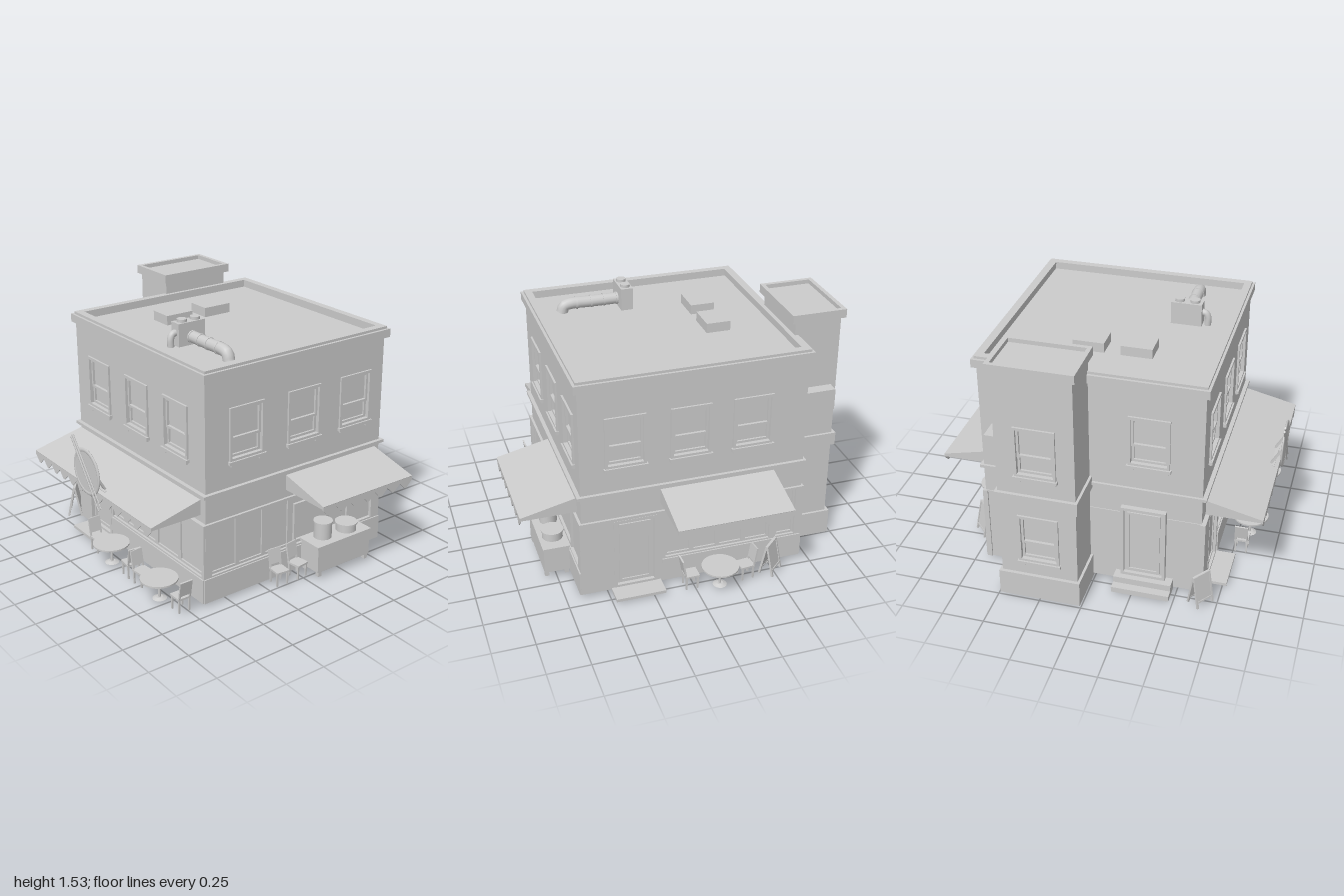
import * as THREE from 'three';

const mat = new THREE.MeshStandardMaterial({ color: 0xcccccc, side: THREE.DoubleSide });

function add(parent, name, geo, x = 0, y = 0, z = 0) {
  const m = new THREE.Mesh(geo, mat);
  m.name = name;
  m.position.set(x, y, z);
  parent.add(m);
  return m;
}
// Box given by its limits on each axis
function box(parent, name, x0, x1, y0, y1, z0, z1) {
  return add(parent, name, new THREE.BoxGeometry(x1 - x0, y1 - y0, z1 - z0),
    (x0 + x1) / 2, (y0 + y1) / 2, (z0 + z1) / 2);
}
const cyl = (parent, name, r0, r1, h, x, y, z, n = 20) =>
  add(parent, name, new THREE.CylinderGeometry(r0, r1, h, n), x, y, z);
function group(parent, name, x = 0, y = 0, z = 0, ry = 0) {
  const g = new THREE.Group();
  g.name = name;
  g.position.set(x, y, z);
  g.rotation.y = ry;
  parent.add(g);
  return g;
}
function rect(S, x0, x1, y0, y1) {
  const s = new S();
  s.moveTo(x0, y0); s.lineTo(x1, y0); s.lineTo(x1, y1); s.lineTo(x0, y1); s.closePath();
  return s;
}
// Slab in the xy plane with rectangular holes, from z0 to z1
function slab(parent, name, r, holes, z0, z1) {
  const s = rect(THREE.Shape, ...r);
  holes.forEach(h => s.holes.push(rect(THREE.Path, ...h)));
  return add(parent, name, new THREE.ExtrudeGeometry(s, { depth: z1 - z0, bevelEnabled: false }), 0, 0, z0);
}
// Horizontal rectangular ring
function ring(parent, name, x0, x1, z0, z1, t, y0, y1) {
  const m = slab(parent, name, [x0, x1, -z1, -z0], [[x0 + t, x1 - t, -z1 + t, -z0 - t]], 0, y1 - y0);
  m.rotation.x = -Math.PI / 2;
  m.position.y = y0;
}
const frame = (p, name, r, t, z0, z1) =>
  slab(p, name, r, [[r[0] + t, r[1] - t, r[2] + t, r[3] - t]], z0, z1);

// Sash window: casing, sashes, glass and sill
function sashWindow(p, cx, y0) {
  const g = group(p, 'sashWindow', cx, y0);
  frame(g, 'casing', [-0.12, 0.12, 0.02, 0.335], 0.016, -0.01, 0.012);
  frame(g, 'upperSash', [-0.104, 0.104, 0.14, 0.319], 0.014, -0.018, -0.004);
  frame(g, 'lowerSash', [-0.104, 0.104, 0.036, 0.152], 0.014, -0.026, -0.012);
  box(g, 'glass', -0.104, 0.104, 0.036, 0.319, -0.032, -0.024);
  box(g, 'sill', -0.128, 0.128, 0.003, 0.022, -0.005, 0.022);
  for (const s of [-1, 1]) box(g, 'sillBracket', s * 0.1 - 0.015, s * 0.1 + 0.015, -0.01, 0.003, 0, 0.014);
}
const sashHole = (cx, y0) => [cx - 0.105, cx + 0.105, y0 + 0.035, y0 + 0.32];

// Shop window with n panes, set back in its opening
function shopWindow(p, x0, x1, y0, y1, n) {
  const w = (x1 - x0) / n;
  for (let i = 0; i < n; i++)
    frame(p, 'paneFrame', [x0 + i * w, x0 + (i + 1) * w, y0, y1], 0.014, -0.028, -0.014);
  box(p, 'shopGlass', x0, x1, y0, y1, -0.032, -0.024);
}
function door(p, x0, x1, y0, y1, z) {
  frame(p, 'doorFrame', [x0, x1, y0, y1], 0.018, z - 0.01, z + 0.022);
  box(p, 'doorLeaf', x0 + 0.018, x1 - 0.018, y0, y1 - 0.018, z - 0.012, z);
  frame(p, 'doorPanel', [x0 + 0.035, x1 - 0.035, y0 + 0.03, y1 - 0.035], 0.014, z, z + 0.008);
}

// Sloping awning with closed ends and a toothed valance
function awning(p, x0, x1, z, teeth) {
  const g = group(p, 'awning', 0, 0, z), out = 0.325;
  const top = add(g, 'awningCloth', new THREE.BoxGeometry(x1 - x0, 0.006, Math.hypot(out, 0.075)),
    (x0 + x1) / 2, 0.6125, out / 2);
  top.rotation.x = Math.atan2(0.075, out);
  const end = new THREE.Shape([[0, 0.65], [0, 0.56], [out, 0.56], [out, 0.575]].map(a => new THREE.Vector2(...a)));
  for (const x of [x0, x1]) {
    const m = add(g, 'awningEnd', new THREE.ShapeGeometry(end), x);
    m.rotation.y = -Math.PI / 2;
  }
  const v = new THREE.Shape(), w = (x1 - x0) / teeth;
  v.moveTo(x0, 0.575);
  for (let i = 0; i < teeth; i++) {
    v.lineTo(x0 + i * w, 0.553);
    v.lineTo(x0 + (i + 0.42) * w, 0.512);
    v.lineTo(x0 + (i + 0.58) * w, 0.512);
  }
  v.lineTo(x1, 0.553); v.lineTo(x1, 0.575);
  add(g, 'valance', new THREE.ExtrudeGeometry(v, { depth: 0.005, bevelEnabled: false }), 0, 0, out - 0.005);
}

// Chair facing +z
function chair(p, x, z, ry) {
  const g = group(p, 'chair', x, 0.02, z, ry);
  box(g, 'seat', -0.042, 0.042, 0.08, 0.092, -0.042, 0.045);
  for (const sx of [-1, 1]) for (const sz of [-1, 1]) {
    const l = box(g, 'chairLeg', -0.005, 0.005, 0, 0.082, -0.005, 0.005);
    l.position.x = sx * 0.034; l.position.z = sz * 0.034;
  }
  const b = group(g, 'chairBack', 0, 0.09, -0.038);
  b.rotation.x = -0.17;
  for (const s of [-1, 1]) box(b, 'backPost', s * 0.035 - 0.005, s * 0.035 + 0.005, 0, 0.11, -0.005, 0.005);
  box(b, 'backRest', -0.04, 0.04, 0.02, 0.112, -0.005, 0.005);
}
function table(p, x, z) {
  const g = group(p, 'table', x, 0.02, z);
  cyl(g, 'tableTop', 0.11, 0.11, 0.01, 0, 0.128, 0, 24);
  cyl(g, 'tableStem', 0.008, 0.008, 0.125, 0, 0.062, 0, 10);
  cyl(g, 'tableFoot', 0.02, 0.042, 0.01, 0, 0.005, 0, 16);
}
function aBoard(p, x, z, ry) {
  const g = group(p, 'sandwichBoard', x, 0.015, z, ry);
  for (const s of [0, Math.PI]) {
    const h = group(g, 'boardHalf', 0, 0.2, 0, s);
    h.rotation.order = 'YXZ';
    h.rotation.x = -0.2;
    frame(h, 'boardFrame', [-0.062, 0.062, -0.17, 0], 0.01, -0.004, 0.008);
    box(h, 'boardFace', -0.054, 0.054, -0.165, -0.005, -0.002, 0.003);
    for (const k of [-1, 1]) box(h, 'boardLeg', k * 0.056 - 0.006, k * 0.056 + 0.006, -0.204, -0.17, -0.004, 0.008);
  }
}

export function createModel() {
  const root = new THREE.Group();
  root.name = 'restaurant';

  // Four sides: wall limits along local x, planes of both storeys, window centres, lower holes
  const sides = [
    { n: 'front', ry: 0, up: 0.63, lo: 0.655, a: -0.695, b: 0.645, wins: [-0.435, -0.025, 0.37],
      holes: [[-0.585, -0.325, 0.025, 0.488], [-0.305, 0.635, 0.18, 0.495]] },
    { n: 'right', ry: Math.PI / 2, up: 0.645, lo: 0.66, a: -0.63, b: 0.665, wins: [-0.35, 0.06, 0.45],
      holes: [[-0.6, 0.615, 0.18, 0.495]] },
    { n: 'back', ry: Math.PI, up: 0.665, lo: 0.68, a: -0.645, b: 0.695, wins: [-0.38, 0, 0.37],
      holes: [[-0.46, -0.2, 0.025, 0.488], [-0.15, 0.5, 0.18, 0.495], [0.54, 0.66, 0.18, 0.495]] },
    { n: 'left', ry: -Math.PI / 2, up: 0.695, lo: 0.7, a: -0.665, b: 0.63, wins: [0.32], holes: [] },
  ];
  const G = {};
  for (const s of sides) {
    const u = group(root, s.n + 'Upper'), l = group(root, s.n + 'Lower');
    for (const [g, d] of [[u, s.up], [l, s.lo]]) {
      g.rotation.y = s.ry;
      g.position.set(Math.sin(s.ry) * d, 0, Math.cos(s.ry) * d);
    }
    G[s.n] = l;
    slab(u, 'upperWall', [s.a, s.b, 0.5, 1.36], s.wins.map(c => sashHole(c, 0.82)), -0.03, 0);
    s.wins.forEach(c => sashWindow(u, c, 0.82));
    slab(l, 'lowerWall', [s.a - 0.014, s.b + 0.014, 0.02, 0.505], s.holes, -0.03, 0);
  }
  // Shop fronts, doors and plinths
  shopWindow(G.front, -0.305, 0.635, 0.18, 0.495, 4);
  door(G.front, -0.585, -0.325, 0.025, 0.488, -0.02);
  box(G.front, 'plinth', -0.31, 0.66, 0.02, 0.17, 0, 0.008);
  box(G.front, 'doorStep', -0.6, -0.31, 0.01, 0.028, 0, 0.12);
  shopWindow(G.right, -0.6, -0.03, 0.18, 0.495, 3);
  box(G.right, 'serviceWall', -0.03, 0.615, 0.18, 0.495, -0.03, -0.02);
  frame(G.right, 'serviceHatch', [0, 0.435, 0.19, 0.445], 0.018, -0.02, -0.004);
  box(G.right, 'plinth', -0.655, 0.68, 0.02, 0.17, 0, 0.008);
  shopWindow(G.back, -0.15, 0.5, 0.18, 0.495, 4);
  shopWindow(G.back, 0.54, 0.66, 0.18, 0.495, 1);
  door(G.back, -0.46, -0.2, 0.025, 0.488, -0.02);
  box(G.back, 'plinth', -0.17, 0.7, 0.02, 0.17, 0, 0.008);
  box(G.back, 'doorStep', -0.48, -0.18, 0.01, 0.028, 0, 0.115);
  door(G.left, 0.165, 0.43, 0.08, 0.56, 0.012);
  box(G.left, 'lowerStep', 0.13, 0.475, 0.005, 0.04, 0, 0.12);
  box(G.left, 'upperStep', 0.13, 0.475, 0.04, 0.08, 0, 0.07);

  // Ledge, cornice, parapet and roof
  ring(root, 'ledge', -0.71, 0.668, -0.685, 0.655, 0.05, 0.668, 0.686);
  ring(root, 'cornice', -0.716, 0.668, -0.69, 0.65, 0.055, 1.335, 1.385);
  ring(root, 'parapet', -0.7, 0.652, -0.675, 0.635, 0.045, 1.385, 1.4);
  box(root, 'roof', -0.67, 0.62, 1.335, 1.352, -0.64, 0.605);
  for (const z of [-0.112, 0.167]) box(root, 'skylight', -0.395, -0.25, 1.352, 1.41, z - 0.092, z + 0.092);

  // Roof ventilation
  const vent = group(root, 'roofVent');
  box(vent, 'ventBox', 0.058, 0.132, 1.352, 1.488, 0.255, 0.437);
  for (const z of [0.3, 0.39]) cyl(vent, 'ventCap', 0.029, 0.029, 0.018, 0.095, 1.496, z);
  const V = (...a) => new THREE.Vector3(...a);
  const tube = (name, pts, r) => add(vent, name, new THREE.TubeGeometry(new THREE.CatmullRomCurve3(pts), 24, r, 14));
  tube('duct', [V(0.13, 1.4, 0.345), V(0.3, 1.4, 0.345), V(0.43, 1.4, 0.345), V(0.465, 1.388, 0.345), V(0.478, 1.35, 0.345)], 0.035);
  for (const x of [0.14, 0.22, 0.3, 0.39])
    cyl(vent, 'ductCollar', 0.038, 0.038, 0.01, x, 1.4, 0.345).rotation.z = Math.PI / 2;
  tube('elbow', [V(0.095, 1.43, 0.43), V(0.095, 1.425, 0.455), V(0.095, 1.4, 0.468), V(0.095, 1.35, 0.468)], 0.02);

  // Stair tower
  const tower = group(root, 'tower');
  const tw = group(tower, 'towerOuterWall', -0.962, 0, 0, -Math.PI / 2);
  slab(tw, 'towerWall', [-0.48, -0.025, 0.005, 1.49], [sashHole(-0.25, 0.82), sashHole(-0.25, 0.235)], -0.03, 0);
  for (const y of [0.82, 0.235]) sashWindow(tw, -0.25, y);
  for (const z of [-0.48, -0.045]) box(tower, 'towerWall', -0.962, -0.68, 0.005, 1.49, z, z + 0.02);
  box(tower, 'towerInnerWall', -0.7, -0.68, 1.35, 1.49, -0.48, -0.025);
  ring(tower, 'towerBase', -0.983, -0.68, -0.495, -0.01, 0.02, 0, 0.16);
  ring(tower, 'towerBand', -0.983, -0.68, -0.495, -0.01, 0.02, 0.64, 0.72);
  ring(tower, 'towerCap', -0.985, -0.655, -0.5, -0.005, 0.025, 1.478, 1.53);
  box(tower, 'towerRoof', -0.97, -0.67, 1.48, 1.505, -0.49, -0.015);
  box(tower, 'airConditioner', -0.93, -0.745, 0.92, 1.05, -0.55, -0.48);

  // Awnings
  awning(G.front, -0.67, 0.62, -0.01, 13);
  awning(G.right, -0.07, 0.62, -0.005, 7);
  awning(G.back, -0.18, 0.51, -0.005, 7);

  // Bowl and chopsticks sign on its bracket
  const sign = group(root, 'bowlSign', -0.012, 0.68, 0.987);
  cyl(sign, 'bowl', 0.135, 0.135, 0.008, 0, 0, 0, 40).rotation.x = Math.PI / 2;
  add(sign, 'bowlRim', new THREE.TorusGeometry(0.13, 0.013, 8, 40)).scale.z = 0.5;
  [[-0.01, -0.012], [0.012, 0.008]].forEach(([x, y], i) => {
    const c = cyl(sign, 'chopstick', 0.009, 0.006, 0.46, x, y, 0.007, 8);
    c.rotation.z = 0.64 + i * 0.03;
    c.scale.z = 0.6;
  });
  for (const x of [-0.085, 0.085]) {
    const s = box(sign, 'strut', -0.012, 0.012, -0.07, 0.07, -0.006, 0.006);
    s.position.set(x, -0.05, -0.038);
    s.rotation.x = 0.52;
  }
  box(sign, 'bracketFoot', -0.12, 0.12, -0.105, -0.092, -0.1, -0.04);
  box(sign, 'bracketBar', -0.105, 0.105, -0.003, 0.012, -0.02, -0.004);

  // Serving counter with pots
  const counter = group(root, 'counter');
  box(counter, 'counterBody', 0.672, 0.825, 0.05, 0.205, -0.45, -0.045);
  box(counter, 'counterTop', 0.668, 0.83, 0.205, 0.22, -0.457, -0.038);
  for (const x of [0.69, 0.81]) for (const z of [-0.43, -0.065])
    box(counter, 'counterFoot', x - 0.012, x + 0.012, 0.02, 0.05, z - 0.012, z + 0.012);
  cyl(counter, 'tallPot', 0.054, 0.054, 0.1, 0.732, 0.27, -0.157);
  cyl(counter, 'tallPotLid', 0.058, 0.058, 0.01, 0.732, 0.322, -0.157);
  cyl(counter, 'lowPot', 0.062, 0.062, 0.045, 0.745, 0.242, -0.33);
  cyl(counter, 'lowPotLid', 0.068, 0.068, 0.01, 0.745, 0.269, -0.33);

  // Outdoor seating
  const H = Math.PI / 2;
  table(root, -0.06, 0.82);
  table(root, 0.455, 0.82);
  table(root, -0.14, -0.82);
  [[-0.235, 0.8, H], [0.14, 0.81, -H - 0.1], [0.265, 0.81, H + 0.1], [0.625, 0.79, -H],
    [0.73, 0.17, H - 0.1], [0.73, 0.03, H + 0.15], [0.03, -0.78, -H], [-0.31, -0.79, H + 0.1]]
    .forEach(c => chair(root, ...c));
  aBoard(root, -0.775, 0.655, -0.64);
  aBoard(root, -0.475, -0.775, Math.PI + 0.75);
  return root;
}
